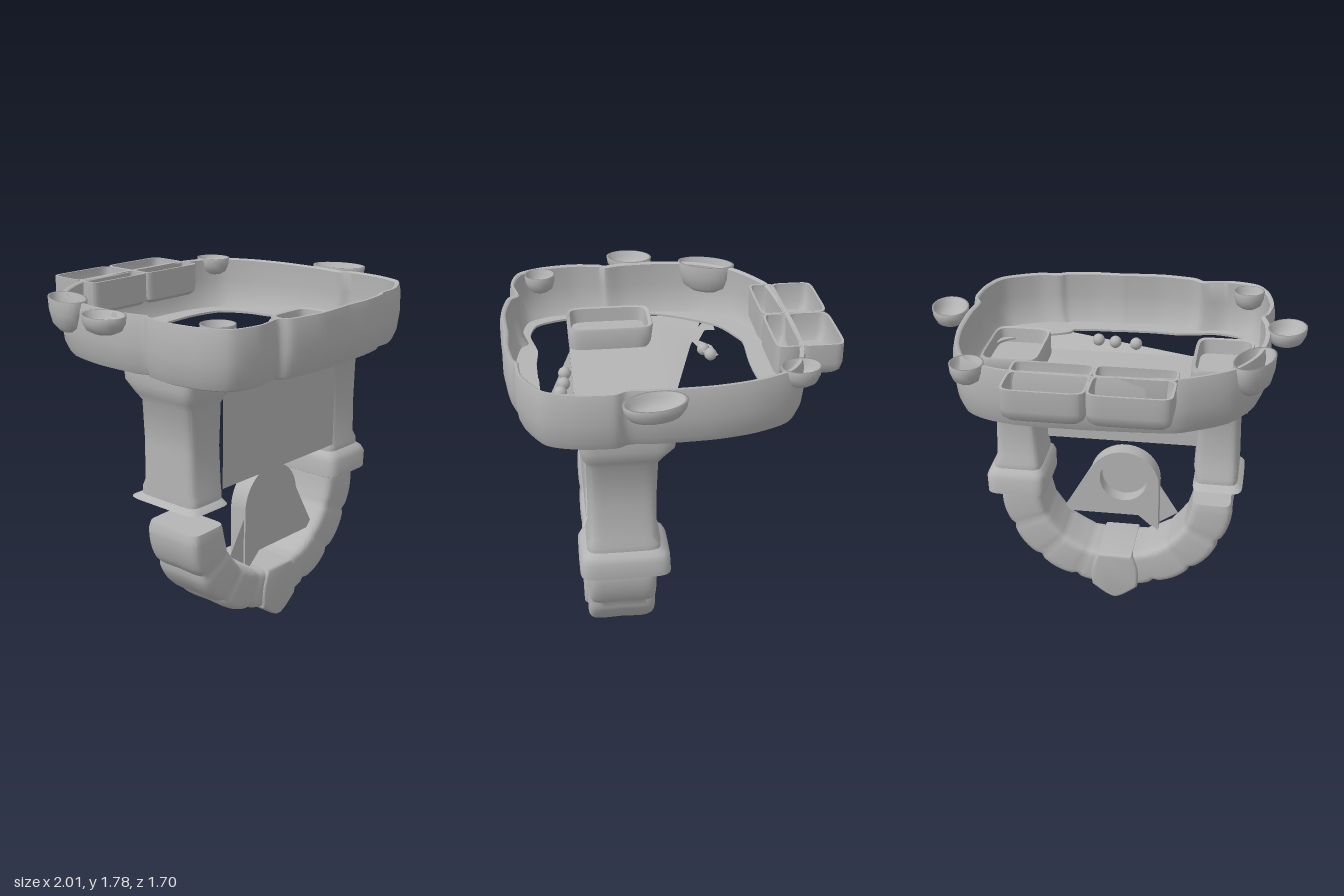
import * as THREE from 'three';
import { toCreasedNormals } from 'three/addons/utils/BufferGeometryUtils.js';

const stone = new THREE.MeshStandardMaterial({ color: 0xb4b4b4, side: THREE.DoubleSide });
stone.name = 'greyStone';

// Skin a list of equal-length loops of [x, y, z] points
function loft(loops, { wrap = false, caps = false } = {}) {
  const n = loops[0].length, m = loops.length, index = [];
  const pos = loops.flat(2);
  for (let i = 0; i < (wrap ? m : m - 1); i++) {
    const k = (i + 1) % m;
    for (let j = 0; j < n; j++) {
      const l = (j + 1) % n;
      index.push(i * n + j, k * n + j, k * n + l, i * n + j, k * n + l, i * n + l);
    }
  }
  const cap = (row, flip) => {
    const id = pos.length / 3;
    pos.push(...[0, 1, 2].map(a => loops[row].reduce((s, p) => s + p[a], 0) / n));
    for (let j = 0; j < n; j++) {
      const a = row * n + j, b = row * n + (j + 1) % n;
      index.push(id, flip ? b : a, flip ? a : b);
    }
  };
  if (caps) {
    cap(0, false);
    cap(m - 1, true);
  }
  const g = new THREE.BufferGeometry();
  g.setAttribute('position', new THREE.Float32BufferAttribute(pos, 3));
  g.setIndex(index);
  return toCreasedNormals(g, 0.75);
}

// Rounded rectangle as [u, v] points in the unit square -1..1
const N = 40;
const roundRect = Array.from({ length: N }, (_, i) => {
  const t = (i / N) * Math.PI * 2, c = Math.cos(t), s = Math.sin(t);
  return [Math.sign(c) * Math.abs(c) ** 0.3, Math.sign(s) * Math.abs(s) ** 0.3];
});
const level = ([y, x0, x1, z0, z1]) =>
  roundRect.map(([u, v]) => [(x0 + x1) / 2 + u * (x1 - x0) / 2, y, (z0 + z1) / 2 + v * (z1 - z0) / 2]);

const shapeOf = points => new THREE.Shape(points.map(p => new THREE.Vector2(...p)));
// Thin plate from [x, z] corners, its height given by a rule
function plate(corners, height) {
  const g = new THREE.ShapeGeometry(shapeOf(corners.map(([x, z]) => [x, -z]))).rotateX(-Math.PI / 2);
  const p = g.attributes.position;
  for (let i = 0; i < p.count; i++) p.setY(i, height(p.getX(i), p.getZ(i)));
  g.computeVertexNormals();
  return g;
}

export function createModel() {
  const model = new THREE.Group();
  const add = (name, geometry) => {
    const mesh = new THREE.Mesh(geometry, stone);
    mesh.name = name;
    model.add(mesh);
    return mesh;
  };

  // Lower arch of puffed blocks, two lobes deep
  const archLoops = [];
  const steps = 64;
  for (let i = 0; i <= steps; i++) {
    const t = i / steps, a = Math.PI * (1 + t) + (t < 0.5 ? 0.035 * (1 - 2 * t) : 0);
    const side = Math.abs(Math.cos(a));
    const bulge = Math.abs(Math.sin(t * 8 * Math.PI)) ** 0.4;
    const outer = 0.59 + 0.07 * side + 0.02 * bulge, inner = 0.4 + 0.04 * side - 0.006 * bulge;
    archLoops.push(roundRect.map(([u, v]) => {
      const groove = u > 0 ? 0.018 * Math.exp(-(((v - 0.1) / 0.08) ** 2)) : 0;
      const r = (outer + inner) / 2 + u * (outer - inner) / 2 - groove;
      return [r * Math.cos(a), 0.69 + r * Math.sin(a), 0.295 + v * (0.168 + 0.008 * bulge)];
    }));
  }
  add('lowerArch', loft(archLoops, { caps: true }));

  // Keystone at the bottom of the arch
  const key = new THREE.Shape();
  key.moveTo(0, 0.015);
  key.quadraticCurveTo(0.03, 0.015, 0.12, 0.09);
  key.quadraticCurveTo(0.14, 0.19, 0.09, 0.285);
  key.lineTo(-0.09, 0.285);
  key.quadraticCurveTo(-0.14, 0.19, -0.12, 0.09);
  key.quadraticCurveTo(-0.03, 0.015, 0, 0.015);
  const keyGeo = new THREE.ExtrudeGeometry(key, {
    depth: 0.34, bevelThickness: 0.02, bevelSize: 0.015, bevelSegments: 3, curveSegments: 8 });
  add('keystone', toCreasedNormals(keyGeo.translate(0, 0, 0.12), 0.7));

  // Columns with cupped capitals; the left one keeps its full base
  const capital = [
    [0.9, 0.44, 0.69, 0.12, 0.46], [1.1, 0.45, 0.685, 0.12, 0.458], [1.32, 0.44, 0.69, 0.11, 0.46],
    [1.36, 0.42, 0.72, 0.09, 0.48], [1.42, 0.41, 0.735, 0.03, 0.49], [1.53, 0.41, 0.735, 0.015, 0.495],
    [1.545, 0.415, 0.73, 0.02, 0.49], [1.54, 0.43, 0.72, 0.04, 0.475], [1.46, 0.435, 0.715, 0.05, 0.465]];
  const leftBase = [
    [0.68, 0.42, 0.72, 0.07, 0.5], [0.69, 0.4, 0.74, 0.05, 0.515], [0.78, 0.4, 0.745, 0.055, 0.515],
    [0.81, 0.41, 0.73, 0.07, 0.5], [0.83, 0.43, 0.705, 0.1, 0.475], [0.86, 0.43, 0.705, 0.1, 0.475]];
  const rightBase = [
    [0.8, 0.44, 0.72, 0.05, 0.51], [0.81, 0.445, 0.71, 0.07, 0.5], [0.825, 0.45, 0.69, 0.1, 0.475],
    [0.86, 0.45, 0.69, 0.1, 0.475]];
  const mirror = rows => rows.map(([y, a, b, c, d]) => [y, -b, -a, c, d]);
  const column = rows => loft(rows.map(level), { caps: true });
  add('leftColumn', column([...leftBase, ...capital]));
  add('rightColumn', column(mirror([...rightBase, ...capital])));

  // Front panel, and a deck between the columns that lifts towards its back right corner
  add('frontPanel', new THREE.PlaneGeometry(0.92, 0.55).translate(0, 1.145, 0.465));
  add('deck', plate([[-0.73, -0.31], [-0.4, -0.185], [0.35, 0.015], [0.44, 0.015], [0.44, 0.49], [-0.44, 0.49],
    [-0.44, 0.06], [-0.72, 0.02]], x => 1.42 + Math.max(0, -0.4 - x) * 0.17));
  add('deckFlap', plate([[-0.42, 0.49], [0.42, 0.665], [0.5, 0.49]], (x, z) => 1.42 + (z - 0.49) * 0.3));

  // Ring wall: puffed wall with an inward bottom lip; rows are x, z, lip width
  const outline = [
    [-0.80, 0.3, 0.07], [-0.82, 0.45, 0.1], [-0.79, 0.63, 0.12], [-0.72, 0.75, 0.12], [-0.57, 0.79, 0.11],
    [-0.42, 0.765, 0.1], [-0.36, 0.81, 0.16], [-0.18, 0.84, 0.17], [0.01, 0.83, 0.16], [0.06, 0.825, 0.16],
    [0.22, 0.825, 0.17], [0.38, 0.8, 0.17], [0.43, 0.775, 0.2], [0.56, 0.76, 0.25], [0.74, 0.66, 0.24],
    [0.8, 0.5, 0.14], [0.81, 0.33, 0.07], [0.78, 0.26, 0.05], [0.79, 0.1, 0.06], [0.78, -0.15, 0.14],
    [0.74, -0.35, 0.14], [0.66, -0.52, 0.15], [0.54, -0.6, 0.18], [0.36, -0.64, 0.19], [0, -0.645, 0.19],
    [-0.36, -0.62, 0.18], [-0.48, -0.58, 0.18], [-0.66, -0.46, 0.17], [-0.77, -0.27, 0.15],
    [-0.81, -0.05, 0.09], [-0.805, 0.15, 0.06], [-0.78, 0.26, 0.05]];
  const path = new THREE.CatmullRomCurve3(outline.map(([x, z, w]) => new THREE.Vector3(x, w, z)), true, 'catmullrom', 0.4);
  const profile = [[0.024, 1.768], [0.016, 1.775], [0, 1.775], [-0.01, 1.73], [-0.012, 1.62], [0, 1.53],
    [0.02, 1.485], [0.06, 1.47]];
  const wallLoops = Array.from({ length: 160 }, (_, i) => {
    const p = path.getPoint(i / 160), r = Math.hypot(p.x, p.z);
    const at = (d, y) => [p.x * (1 - d / r), y, p.z * (1 - d / r)];
    const lip = Math.max(p.y, 0.065);
    return [...profile.map(([d, y]) => at(d, y)), at(lip, 1.475), at(lip, 1.487),
      at(0.06, 1.49), at(0.032, 1.54), at(0.02, 1.65)];
  });
  add('ringWall', loft(wallLoops, { wrap: true }));

  // Open trays at the back, two on each side
  const tray = (x0, x1, z0, z1, y) => loft([
    [y, x0 + 0.03, x1 - 0.03, z0 + 0.03, z1 - 0.02], [y + 0.02, x0 + 0.008, x1 - 0.008, z0 + 0.01, z1],
    [y + 0.06, x0, x1, z0, z1], [1.775, x0, x1, z0, z1],
    [1.775, x0 + 0.012, x1 - 0.012, z0 + 0.012, z1 - 0.012],
    [y + 0.06, x0 + 0.014, x1 - 0.014, z0 + 0.014, z1 - 0.014],
    [y + 0.02, x0 + 0.035, x1 - 0.035, z0 + 0.035, z1 - 0.03]].map(level), { caps: true });
  for (const [s, x] of [['Right', -0.405], ['Left', 0]]) {
    add('outerTray' + s, tray(x, x + 0.405, -0.85, -0.62, 1.61));
    add('innerTray' + s, tray(x, x + 0.405, -0.64, -0.5, 1.6));
  }

  // Scooped cups around the rim: x, z, radii, turn
  const cups = [
    [0.9, 0.15, 0.1, 0.09, 0.155, 0.25], [-0.9, 0.11, 0.1, 0.09, 0.13, -0.25],
    [-0.75, -0.32, 0.09, 0.17, 0.165, -0.4], [0.62, -0.575, 0.085, 0.1, 0.1, 0.2],
    [-0.68, 0.63, 0.085, 0.1, 0.085, 0]];
  const bowl = new THREE.LatheGeometry([[0, -1], [0.5, -0.96], [0.8, -0.78], [0.96, -0.4], [1, 0],
    [0.9, 0], [0.86, -0.3], [0.6, -0.65], [0, -0.78]].map(p => new THREE.Vector2(...p)), 24);
  for (const [x, z, rx, ry, rz, turn] of cups) {
    const cup = add('rimCup', bowl);
    cup.position.set(x, 1.778, z);
    cup.scale.set(rx, ry, rz);
    cup.rotation.y = turn;
  }

  // Round-topped shield standing in the arch, hollowed behind, with triangular wings
  const tongue = () => {
    const s = new THREE.Shape();
    s.moveTo(-0.21, 0.36);
    s.lineTo(-0.21, 0.66);
    s.absarc(0, 0.66, 0.21, Math.PI, 0, true);
    s.quadraticCurveTo(0.19, 0.56, 0.04, 0.53);
    s.quadraticCurveTo(-0.08, 0.48, -0.21, 0.36);
    return s;
  };
  const rim = tongue();
  rim.holes.push(new THREE.Path().absarc(0, 0.69, 0.14, 0, Math.PI * 2));
  add('shieldRim', toCreasedNormals(new THREE.ExtrudeGeometry(rim, { depth: 0.1, bevelEnabled: false })
    .translate(-0.02, 0, 0.32), 0.6));
  add('shieldFace', new THREE.ShapeGeometry(tongue()).translate(-0.02, 0, 0.425));
  add('shieldWings', new THREE.ShapeGeometry(shapeOf([[-0.34, 0.44], [-0.18, 0.33], [-0.1, 0.4],
    [0.34, 0.4], [0.35, 0.43], [0.16, 0.76], [-0.16, 0.73]])).translate(0, 0, 0.41));

  // Small drops hanging under the deck and ring
  const drop = new THREE.SphereGeometry(0.035, 12, 8);
  for (const [x, z] of [[-0.06, 0.53], [0.06, 0.54], [0.16, 0.56], [0.55, -0.04], [-0.27, -0.24],
    [-0.2, -0.27]]) {
    add('hangingDrop', drop).position.set(x, 1.465, z);
  }
  // Thin broken strut reaching across the opening
  add('brokenStrut', plate([[-0.7, -0.34], [-0.5, -0.34], [-0.5, -0.28], [-0.37, -0.23], [-0.3, -0.29],
    [-0.17, -0.31], [-0.17, -0.25], [-0.36, -0.19], [-0.52, -0.23]], () => 1.47));
  return model;
}
